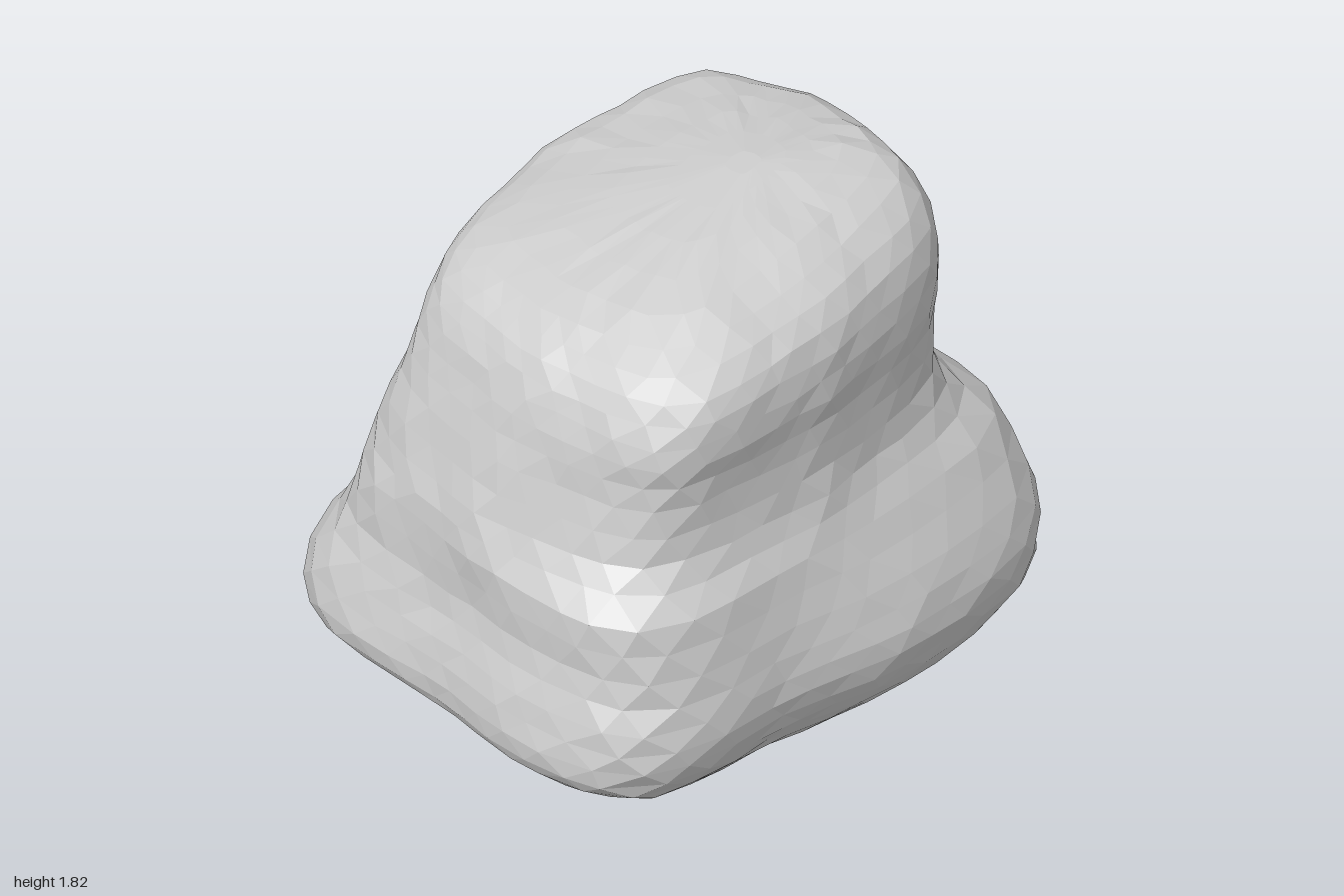
import * as THREE from 'three';

// Cross-sections from underside to crown: height, xMin, xMax, zMin, zMax, tilt along x, tilt along z
const SECTIONS = [
  [0.045, -0.05, 0.05, 0.05, 0.15, 0, -0.06],
  [0.04, -0.42, 0.42, -0.38, 0.50, 0, -0.07],
  [0.065, -0.74, 0.70, -0.70, 0.70, 0, -0.06],
  [0.14, -0.92, 0.89, -0.86, 0.84, 0, -0.02],
  [0.24, -1.00, 0.97, -0.93, 0.92, 0, 0],
  [0.40, -0.98, 0.98, -0.93, 0.96, 0, 0],
  [0.58, -0.92, 0.98, -0.83, 0.91, 0, 0],
  [0.80, -0.91, 0.91, -0.76, 0.80, 0, 0],
  [0.98, -0.86, 0.79, -0.71, 0.74, 0, 0],
  [1.20, -0.79, 0.75, -0.65, 0.73, 0, 0],
  [1.40, -0.73, 0.76, -0.62, 0.74, 0.04, 0],
  [1.56, -0.65, 0.75, -0.60, 0.70, 0.09, 0.03],
  [1.67, -0.50, 0.69, -0.52, 0.54, 0.14, 0.07],
  [1.735, -0.20, 0.50, -0.22, 0.32, 0.14, 0.10],
  [1.77, 0.18, 0.28, 0.08, 0.18, 0.14, 0.10],
];
const SEGMENTS = 40;
const LEVELS = 32;
const { smoothstep } = THREE.MathUtils;

// Repeatable noise in -1..1
let seed = 7;
function noise() {
  seed = (seed * 16807) % 2147483647;
  return (seed / 2147483647) * 2 - 1;
}

// Smoothly interpolated section at t in 0..1
function makeSampler() {
  const curve = (a, b, c) => new THREE.CatmullRomCurve3(
    SECTIONS.map((s) => new THREE.Vector3(s[a], s[b], s[c])), false, 'catmullrom', 0.5);
  const sides = curve(0, 1, 2), ends = curve(3, 4, 5), tilt = curve(6, 6, 6);
  return (t) => [...sides.getPoint(t).toArray(), ...ends.getPoint(t).toArray(), tilt.getPoint(t).x];
}

// One point of the rounded-square outline, with the uneven foot and worn corners
function outlinePoint([y, x0, x1, z0, z1, tx, tz], angle) {
  const c = Math.cos(angle), s = Math.sin(angle);
  const low = 1 - smoothstep(y, 0.42, 1.0);
  const n = 5;
  let r = Math.pow(Math.abs(c) ** n + Math.abs(s) ** n, -1 / n);

  // Worn upper corners, with ledges under the two front ones
  const corner = (sx, sz) => 2 * Math.max(0, sx * c) * Math.max(0, sz * s);
  const ledge = smoothstep(y, 0.8, 0.93);
  r *= 1 - corner(1, -1) * 0.13 * (1 - low);
  r *= 1 - corner(-1, -1) * 0.08 * (1 - low);
  r *= 1 - corner(-1, 1) * (0.09 * ledge - 0.05 * smoothstep(y, 1.1, 1.4));
  r *= 1 - corner(1, 1) * 0.06 * ledge;

  let x = (x0 + x1) / 2 + r * c * (x1 - x0) / 2;
  let z = (z0 + z1) / 2 + r * s * (z1 - z0) / 2;

  // Foot: shallow front left, hollow in the back, lobe at the back right
  if (x < 0) x *= 1 - 0.04 * low * smoothstep(-z, -0.3, 0.1);
  if (z > 0) {
    z *= 1 - 0.11 * low * (1 - smoothstep(x, -0.4, 0.2));
  } else {
    const hollow = 0.13 * Math.exp(-((x - 0.08) ** 2) / 0.13) + 0.06 * Math.min(1, Math.max(0, -x * 3));
    z *= 1 + low * (0.1 * smoothstep(x, 0.3, 0.85) - hollow);
    x *= 1 + 0.03 * low * corner(1, -1);
  }
  const lift = 0.04 * smoothstep(x, 0.45, 0.75) * (1 - smoothstep(y, 0.1, 0.3));
  return new THREE.Vector3(x, y + tx * x + tz * z + lift, z);
}

function rockGeometry() {
  const sample = makeSampler();
  const positions = [], index = [];
  for (let i = 0; i <= LEVELS; i++) {
    const section = sample(i / LEVELS);
    const rough = i > 1 && i < LEVELS - 1 ? 0.005 : 0;
    for (let j = 0; j < SEGMENTS; j++) {
      const angle = ((j + (i % 2) * 0.5 + noise() * 0.15) / SEGMENTS) * Math.PI * 2;
      const p = outlinePoint(section, angle);
      positions.push(p.x + noise() * rough, Math.max(0, p.y + noise() * rough), p.z + noise() * rough);
    }
  }
  for (let i = 0; i < LEVELS; i++) {
    for (let j = 0; j < SEGMENTS; j++) {
      const k = (j + 1) % SEGMENTS;
      const a = i * SEGMENTS + j, b = i * SEGMENTS + k;
      const d = a + SEGMENTS, e = b + SEGMENTS;
      if (i % 2) index.push(a, e, b, a, d, e);
      else index.push(a, d, b, b, d, e);
    }
  }
  // Close the underside and the crown
  for (const [level, up] of [[0, false], [LEVELS, true]]) {
    const base = level * SEGMENTS;
    for (let j = 1; j < SEGMENTS - 1; j++) {
      if (up) index.push(base, base + j + 1, base + j);
      else index.push(base, base + j, base + j + 1);
    }
  }
  const geometry = new THREE.BufferGeometry();
  geometry.setAttribute('position', new THREE.Float32BufferAttribute(positions, 3));
  geometry.setIndex(index);
  geometry.computeVertexNormals();
  return geometry;
}

export function createModel() {
  const group = new THREE.Group();
  group.name = 'boulder';
  const rock = new THREE.Mesh(
    rockGeometry(),
    new THREE.MeshStandardMaterial({ color: 0xcccccc, flatShading: true }));
  rock.name = 'rock';
  group.add(rock);
  return group;
}
